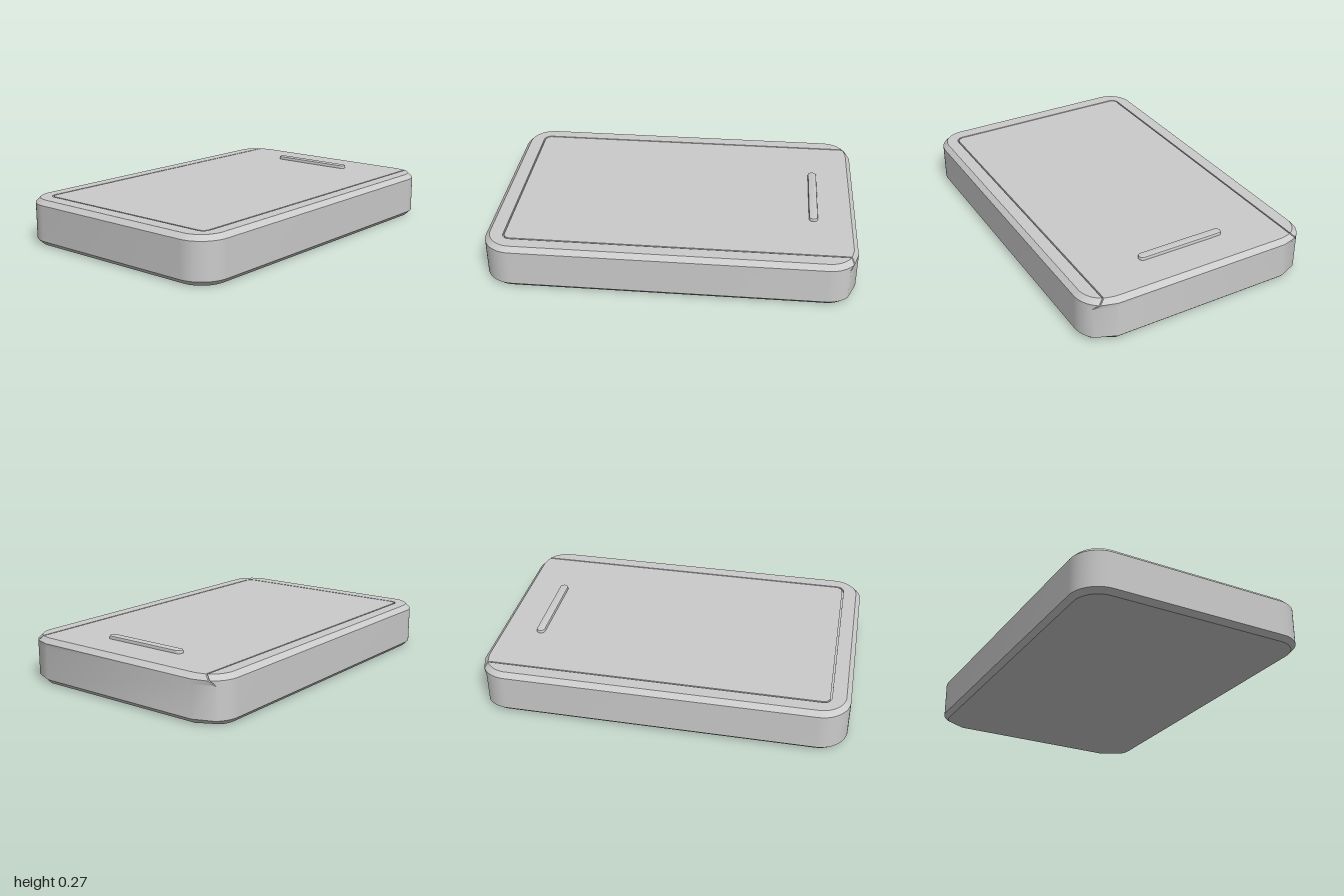
import * as THREE from 'three';
import { toCreasedNormals } from 'three/addons/utils/BufferGeometryUtils.js';

const W = 0.663, D = 1, H = 0.252; // half width, half depth, height
const R = 0.16, BEVEL = 0.026;     // corner radius, edge chamfer
const SEAM_X = 0.565, GAP = 0.004; // lid seam position, half its width
const GROOVE = 0.014;              // seam depth in the top

const material = new THREE.MeshStandardMaterial({ color: 0xcccccc, side: THREE.DoubleSide });

// Right half of the outline as [x, z], from back to front.
// Entries 1 to 3 form the notch where the slanted lid seam leaves the back corner.
function halfOutline(y, inset, notch) {
  const r = R - inset, cx = W - R, cz = D - R, pts = [];
  const seam = Math.asin((SEAM_X + Math.min(H - y, 0.052) - cx) / r);
  const add = (a, radius, side) => pts.push([cx + radius * Math.sin(a), side * cz - radius * Math.cos(a)]);
  add(0, r, -1);
  add(seam - GAP / r, r, -1);
  add(seam, r - notch, -1);
  for (let i = 0; i <= 10; i++) {
    const a = seam + GAP / r;
    add(a + (Math.PI / 2 - a) * i / 10, r, -1);
  }
  for (let i = 0; i <= 14; i++) add(Math.PI / 2 * (1 + i / 14), r, 1);
  return pts;
}

const mirrored = (half) => half.map(([x, z]) => [-x, z]).reverse();
const fullLoop = (half) => [...half, ...mirrored(half)];

// Straight seam ending in a rounded front corner
function frontCorner(x, z, r) {
  return Array.from({ length: 9 }, (_, i) => {
    const a = Math.PI / 2 * i / 8;
    return [x - r + r * Math.cos(a), z - r + r * Math.sin(a)];
  });
}

const toShape = (pts) => new THREE.Shape(pts.map(([x, z]) => new THREE.Vector2(x, -z)));

// Chamfered wall lofted through the outlines, closed underneath
function shellGeometry() {
  const levels = [[0, BEVEL, 0], [BEVEL, 0, 0], [H - 0.052, 0, 0],
    [H - 0.044, 0, 0.008], [H - BEVEL, 0, 0.008], [H, BEVEL, 0.008]];
  const loops = levels.map(([y, inset, notch]) => fullLoop(halfOutline(y, inset, notch)));
  const n = loops[0].length, pos = [], index = [];
  loops.forEach((loop, k) => loop.forEach(([x, z]) => pos.push(x, levels[k][0], z)));
  pos.push(0, 0, 0);
  const centre = n * levels.length;
  for (let i = 0; i < n; i++) {
    const j = (i + 1) % n;
    index.push(centre, i, j);
    for (let k = 0; k < levels.length - 1; k++) {
      const a = k * n + i, b = k * n + j;
      index.push(a, a + n, b, b, a + n, b + n);
    }
  }
  const geo = new THREE.BufferGeometry();
  geo.setAttribute('position', new THREE.Float32BufferAttribute(pos, 3));
  geo.setIndex(index);
  return toCreasedNormals(geo, 0.5);
}

export function createModel() {
  const group = new THREE.Group();
  const add = (name, geometry) => {
    const mesh = new THREE.Mesh(geometry, material);
    mesh.name = name;
    group.add(mesh);
    return mesh;
  };
  const slab = (name, pts) => {
    const geo = new THREE.ExtrudeGeometry(toShape(pts), { depth: GROOVE, bevelEnabled: false });
    add(name, geo.rotateX(-Math.PI / 2).translate(0, H - GROOVE, 0));
  };

  add('caseShell', shellGeometry());

  // Top face, split by the U-shaped seam into a lid and a rim
  const top = halfOutline(H, BEVEL, 0.008);
  slab('lid', fullLoop([top[0], top[1], ...frontCorner(SEAM_X - GAP, 0.891, 0.036)]));
  const inner = frontCorner(SEAM_X + GAP, 0.891 + 2 * GAP, 0.044);
  slab('rim', [...fullLoop(top.slice(3)), ...fullLoop(inner).reverse()]);

  // Bottom of the seam
  const floor = new THREE.ShapeGeometry(toShape(fullLoop(top)));
  add('seamFloor', floor.rotateX(-Math.PI / 2).translate(0, H - GROOVE, 0));

  // Raised finger grip near the back
  const b = 0.006, r = 0.024 - b, half = 0.25 - 0.024;
  const grip = new THREE.Shape();
  grip.absarc(half, 0, r, -Math.PI / 2, Math.PI / 2);
  grip.absarc(-half, 0, r, Math.PI / 2, Math.PI * 1.5);
  const gripGeo = new THREE.ExtrudeGeometry(grip, {
    depth: 0.02, bevelSize: b, bevelThickness: b, bevelSegments: 2, curveSegments: 12,
  });
  gripGeo.rotateX(-Math.PI / 2).translate(0, 0.27 - 0.02 - b, -0.766);
  add('fingerGrip', toCreasedNormals(gripGeo, 0.5));

  return group;
}
